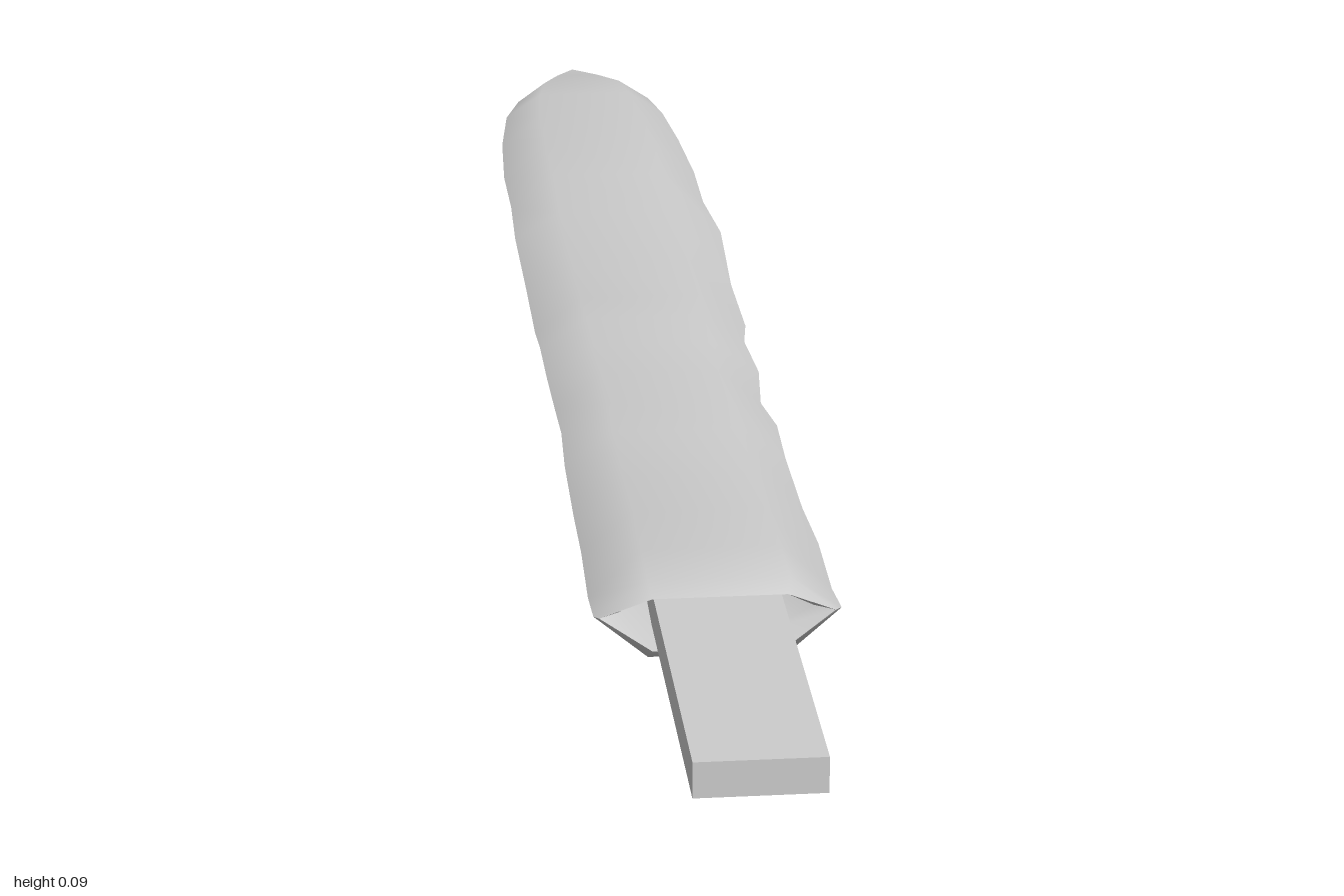
import * as THREE from 'three';

// Rings along the blade: z, right edge, left edge, top, bottom, edge height, edge setback in z
const BLADE = [
  [0.675, -0.109, 0.109, 0.079, 0.027, 0.052, 0.022],
  [0.66, -0.114, 0.115, 0.090, 0.015, 0.052, 0.012],
  [0.60, -0.115, 0.112, 0.096, 0.007, 0.050, 0],
  [0.50, -0.113, 0.112, 0.092, 0.006, 0.053, 0],
  [0.40, -0.112, 0.109, 0.087, 0.009, 0.048, 0],
  [0.28, -0.111, 0.107, 0.086, 0.011, 0.051, 0],
  [0.20, -0.108, 0.108, 0.085, 0.007, 0.054, 0],
  [0.12, -0.108, 0.101, 0.084, 0.004, 0.047, 0],
  [0.04, -0.110, 0.108, 0.084, 0.006, 0.050, 0],
  [-0.04, -0.111, 0.102, 0.085, 0.007, 0.053, 0],
  [-0.10, -0.112, 0.110, 0.085, 0.008, 0.048, 0],
  [-0.22, -0.112, 0.108, 0.083, 0.009, 0.050, 0],
  [-0.38, -0.113, 0.114, 0.081, 0.009, 0.053, 0],
  [-0.50, -0.109, 0.107, 0.083, 0.006, 0.047, 0],
  [-0.60, -0.110, 0.107, 0.085, 0.004, 0.048, 0],
  [-0.72, -0.104, 0.101, 0.079, 0.012, 0.047, 0],
  [-0.82, -0.092, 0.092, 0.074, 0.019, 0.047, 0],
  [-0.88, -0.074, 0.081, 0.069, 0.023, 0.046, 0],
  [-0.94, -0.040, 0.044, 0.058, 0.034, 0.046, 0],
  [-1.00, 0, 0, 0.046, 0.046, 0.046, 0],
];

// Hollow socket at the butt end, from its floor out to the rim
const SOCKET = [
  [0.58, -0.080, 0.080, 0.072, 0.033, 0.052, 0],
  [0.64, -0.090, 0.090, 0.076, 0.030, 0.052, 0],
  BLADE[0],
];

// One face of the six-sided section: side edge, two shoulders, side edge
function facePoints([z, right, left, top, bottom, mid, setback], isTop) {
  const y = isTop ? top : bottom;
  const points = [
    [right, mid, z - setback],
    [right * 0.57, y, z],
    [left * 0.57, y, z],
    [left, mid, z - setback],
  ];
  return isTop ? points : points.reverse();
}

// Smooth surface through rings; separate top and bottom keep the side edges sharp
function loftFace(rings, isTop) {
  const positions = rings.flatMap((ring) => facePoints(ring, isTop).flat());
  const index = [];
  for (let i = 0; i < rings.length - 1; i++) {
    for (let j = 0; j < 3; j++) {
      const a = i * 4 + j, b = a + 1, c = a + 4, d = c + 1;
      index.push(a, b, c, b, d, c);
    }
  }
  const geometry = new THREE.BufferGeometry();
  geometry.setAttribute('position', new THREE.Float32BufferAttribute(positions, 3));
  geometry.setIndex(index);
  geometry.computeVertexNormals();
  return geometry;
}

export function createModel() {
  const group = new THREE.Group();
  const material = new THREE.MeshStandardMaterial({ color: 0xcccccc, side: THREE.DoubleSide });
  const add = (name, geometry) => {
    const mesh = new THREE.Mesh(geometry, material);
    mesh.name = name;
    group.add(mesh);
    return mesh;
  };

  for (const isTop of [true, false]) {
    const side = isTop ? 'Top' : 'Bottom';
    add('blade' + side, loftFace(BLADE, isTop));
    add('socket' + side, loftFace(SOCKET, isTop));
  }

  // Socket floor
  const floor = new THREE.Shape();
  const outline = [...facePoints(SOCKET[0], true), ...facePoints(SOCKET[0], false).slice(1, 3)];
  floor.setFromPoints(outline.map(([x, y]) => new THREE.Vector2(x, y)));
  add('socketFloor', new THREE.ShapeGeometry(floor)).position.z = SOCKET[0][0];

  // Flat tang, seated in the socket
  add('tang', new THREE.BoxGeometry(0.118, 0.034, 0.44)).position.set(0, 0.052, 0.78);

  // Rest the lowest point on the ground
  group.position.y = -0.004;
  return group;
}
